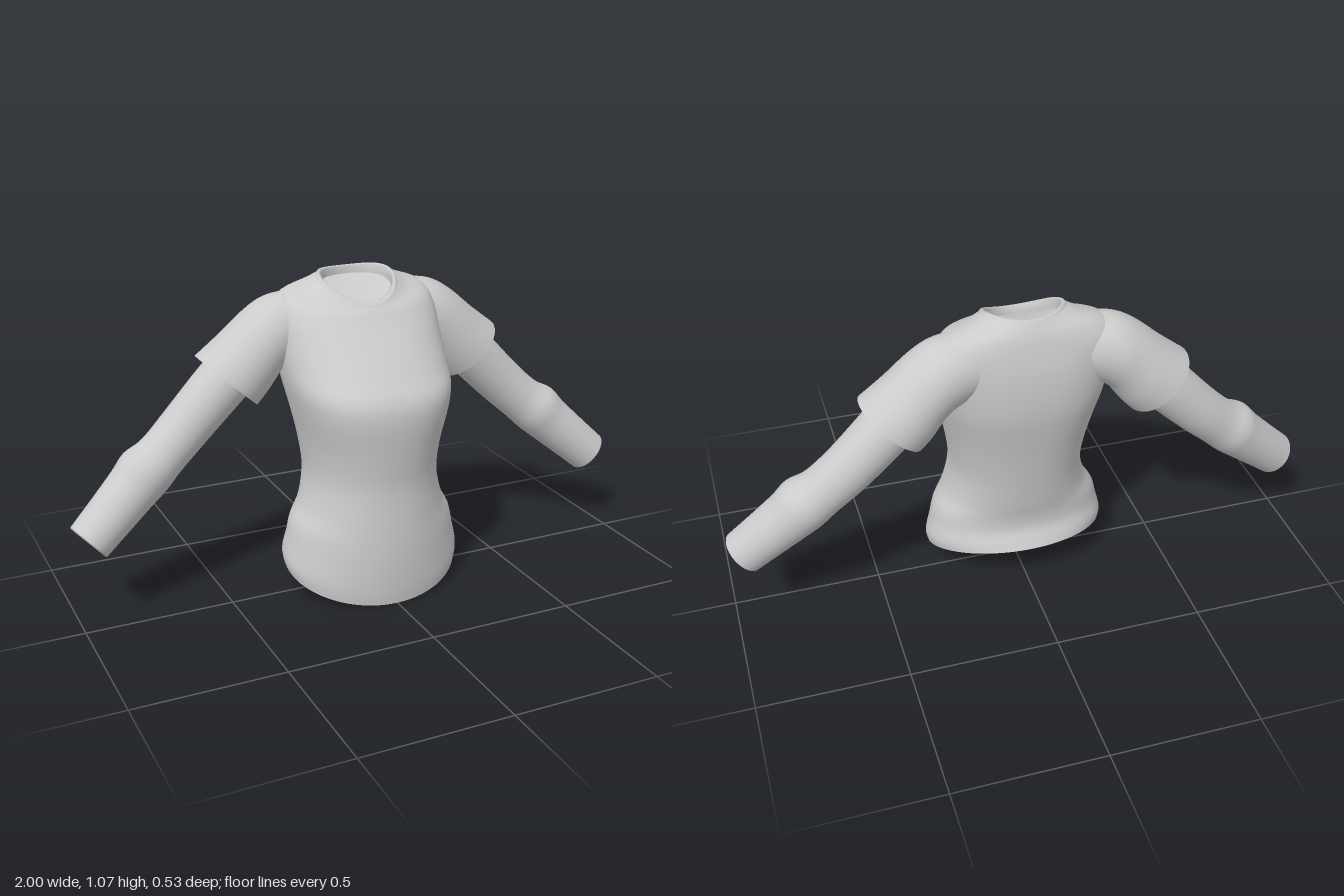
import * as THREE from 'three';

const SEG = 56;
const material = new THREE.MeshStandardMaterial({ color: 0xcccccc, side: THREE.DoubleSide });

// Catmull-Rom blend of neighbouring parameter rows, giving a smooth run of sections
function refine(rows, steps) {
  const out = [];
  const at = (i) => rows[Math.max(0, Math.min(rows.length - 1, i))];
  for (let i = 0; i < rows.length - 1; i++) {
    for (let k = 0; k < steps; k++) {
      const t = k / steps;
      out.push(rows[i].map((b, j) => {
        const a = at(i - 1)[j], c = at(i + 1)[j], d = at(i + 2)[j];
        return b + 0.5 * t * (c - a + t * (2 * a - 5 * b + 4 * c - d + t * (3 * (b - c) + d - a)));
      }));
    }
  }
  out.push(rows[rows.length - 1]);
  return out;
}

function makeMesh(name, positions, index) {
  const g = new THREE.BufferGeometry();
  g.setAttribute('position', new THREE.Float32BufferAttribute(positions, 3));
  g.setIndex(index);
  g.computeVertexNormals();
  const mesh = new THREE.Mesh(g, material);
  mesh.name = name;
  return mesh;
}

// Closed-section loft; pointAt(row, angle) returns [x, y, z]
function loft(name, rows, pointAt) {
  const positions = [], index = [];
  rows.forEach((row, i) => {
    for (let j = 0; j < SEG; j++) {
      positions.push(...pointAt(row, (j / SEG) * Math.PI * 2));
      if (i === rows.length - 1) continue;
      const a = i * SEG + j, b = i * SEG + ((j + 1) % SEG);
      index.push(a, a + SEG, b, b, a + SEG, b + SEG);
    }
  });
  return makeMesh(name, positions, index);
}

// Fan closing one section
function cap(name, row, pointAt) {
  const positions = [], index = [], centre = [0, 0, 0];
  for (let j = 0; j < SEG; j++) {
    const p = pointAt(row, (j / SEG) * Math.PI * 2);
    positions.push(...p);
    p.forEach((v, k) => { centre[k] += v / SEG; });
    index.push(j, (j + 1) % SEG, SEG);
  }
  positions.push(...centre);
  return makeMesh(name, positions, index);
}

// Torso section: front y z, back y z, side y z, half width, squareness
function torsoPoint([yf, zf, yb, zb, ys, zs, w, n], t) {
  const c = Math.cos(t), s = Math.sin(t);
  const r = (Math.abs(c) ** n + Math.abs(s) ** n) ** (-1 / n);
  const d = r * s;
  const bend = (f, b, m) => m + ((f - b) / 2) * d + ((f + b) / 2 - m) * d * d;
  return [w * r * c, bend(yf, yb, ys), bend(zf, zb, zs)];
}

// Sleeve section: top x y, bottom x y, centre z, half depth
const sleevePoint = (side) => ([tx, ty, bx, by, z, h], t) => {
  const c = Math.cos(t), s = Math.sin(t) * side;
  return [side * ((tx + bx) / 2 + ((tx - bx) / 2) * c), (ty + by) / 2 + ((ty - by) / 2) * c, z - h * s];
};

// Arm section: centre x y z, radius
const armPoint = (side) => ([x, y, z, r], t) => {
  const c = Math.cos(t) * r, s = Math.sin(t) * r * side;
  return [side * (x + 0.66 * c + 0.1 * s), y + 0.75 * c - 0.1 * s, z - 0.98 * s];
};

const torsoRows = [
  [0.005, 0.24, 0.165, -0.2, 0.1, 0.02, 0.308, 2],
  [0.06, 0.246, 0.19, -0.187, 0.14, 0.02, 0.315, 2],
  [0.15, 0.25, 0.23, -0.168, 0.205, 0.02, 0.3, 2],
  [0.22, 0.25, 0.28, -0.167, 0.265, 0.02, 0.285, 2],
  [0.3, 0.247, 0.34, -0.178, 0.33, 0.02, 0.248, 2.1],
  [0.42, 0.243, 0.45, -0.196, 0.43, 0.01, 0.225, 2.2],
  [0.53, 0.255, 0.56, -0.215, 0.54, 0, 0.234, 2.3],
  [0.65, 0.268, 0.66, -0.235, 0.65, 0, 0.256, 2.5],
  [0.72, 0.257, 0.74, -0.249, 0.73, -0.02, 0.272, 2.6],
  [0.78, 0.215, 0.82, -0.253, 0.8, -0.06, 0.28, 2.5],
  [0.86, 0.153, 0.9, -0.248, 0.89, -0.1, 0.285, 2.4],
  [0.93, 0.095, 0.97, -0.235, 0.965, -0.12, 0.283, 2.4],
  [0.965, 0.068, 1.02, -0.222, 1.012, -0.11, 0.255, 2.2],
  [0.978, 0.056, 1.048, -0.209, 1.04, -0.1, 0.18, 2],
  [0.985, 0.049, 1.066, -0.199, 1.057, -0.085, 0.138, 2],
];

// Neck band folding over into the opening
const collarRows = [
  torsoRows[torsoRows.length - 1],
  [0.992, 0.045, 1.073, -0.195, 1.065, -0.085, 0.133, 2],
  [0.998, 0.034, 1.074, -0.189, 1.067, -0.083, 0.126, 2],
  [0.994, 0.024, 1.068, -0.184, 1.06, -0.082, 0.119, 2],
  [0.972, 0.022, 1.045, -0.184, 1.03, -0.082, 0.119, 2],
];

const sleeveRows = [
  [0.16, 1.02, 0.15, 0.82, -0.13, 0.095],
  [0.25, 1.02, 0.23, 0.785, -0.133, 0.11],
  [0.315, 1.004, 0.268, 0.76, -0.135, 0.117],
  [0.38, 0.963, 0.29, 0.73, -0.135, 0.12],
  [0.46, 0.895, 0.32, 0.69, -0.137, 0.126],
  [0.542, 0.832, 0.352, 0.655, -0.137, 0.129],
];

const armRows = [
  [0.34, 0.85, -0.14, 0.09],
  [0.46, 0.735, -0.145, 0.09],
  [0.59, 0.605, -0.142, 0.085],
  [0.68, 0.522, -0.13, 0.083],
  [0.74, 0.478, -0.12, 0.093],
  [0.79, 0.43, -0.111, 0.087],
  [0.87, 0.358, -0.093, 0.081],
  [0.95, 0.287, -0.075, 0.076],
];

// Rounded cuff edge turning inward
const cuffRows = [
  armRows[armRows.length - 1],
  [0.953, 0.284, -0.074, 0.072],
  [0.953, 0.284, -0.074, 0.066],
  [0.948, 0.289, -0.075, 0.06],
  [0.9, 0.332, -0.086, 0.056],
];

export function createModel() {
  const model = new THREE.Group();
  model.name = 'shirt';

  model.add(
    loft('torso', refine(torsoRows, 4), torsoPoint),
    loft('collar', collarRows, torsoPoint),
    cap('neckOpening', collarRows[collarRows.length - 1], torsoPoint),
    cap('hemOpening', torsoRows[0], torsoPoint),
  );

  for (const side of [1, -1]) {
    const arm = new THREE.Group();
    arm.name = side > 0 ? 'leftArm' : 'rightArm';
    arm.add(
      loft('shortSleeve', refine(sleeveRows, 4), sleevePoint(side)),
      loft('longSleeve', refine(armRows, 4), armPoint(side)),
      loft('cuff', cuffRows, armPoint(side)),
      cap('cuffOpening', cuffRows[cuffRows.length - 1], armPoint(side)),
    );
    model.add(arm);
  }
  return model;
}
